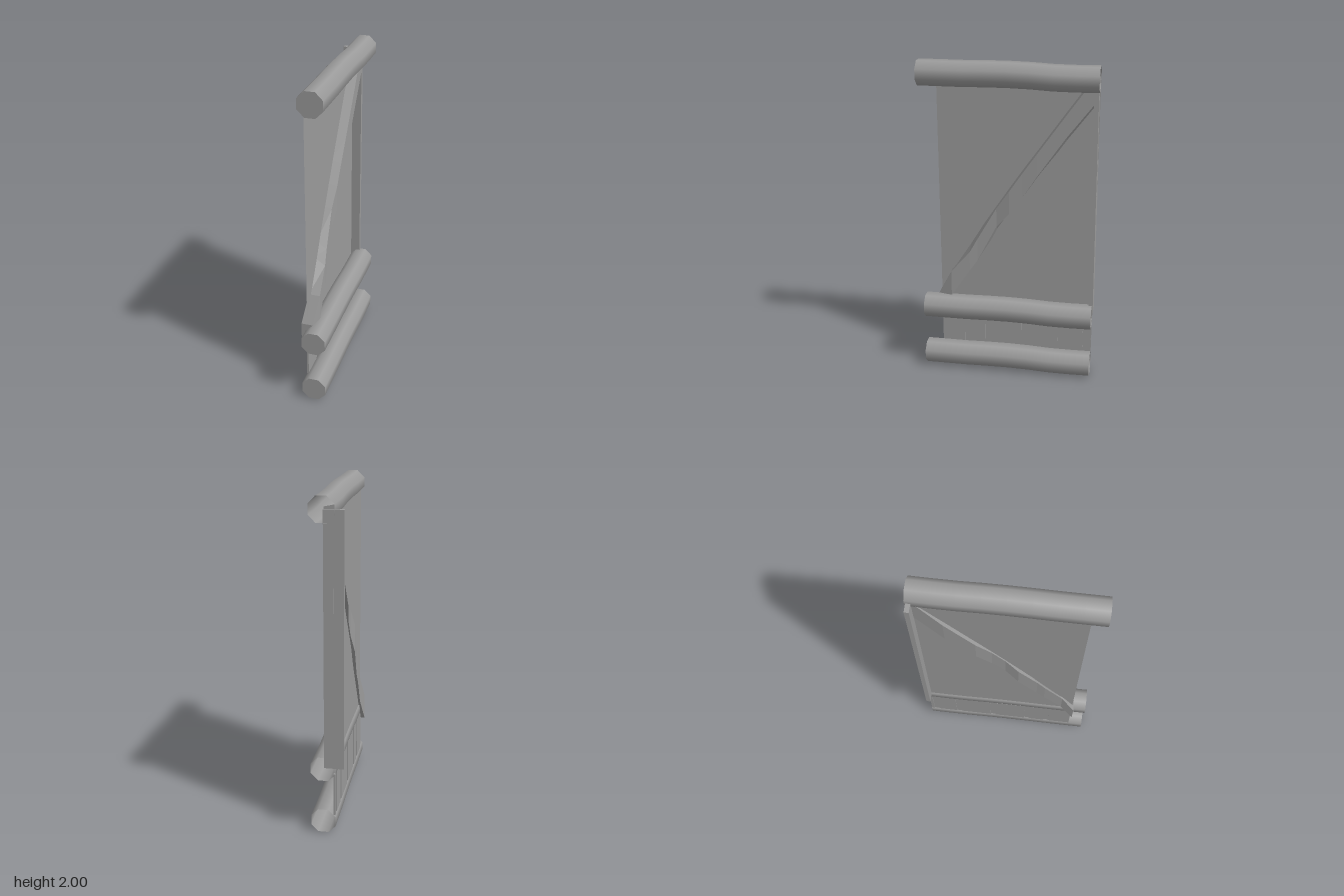
import * as THREE from 'three';

const color = 0x9b9b9b;
const material = new THREE.MeshStandardMaterial({ color, side: THREE.DoubleSide });
const flatMaterial = new THREE.MeshStandardMaterial({ color, side: THREE.DoubleSide, flatShading: true });

function box(name, x0, x1, y0, y1, z0, z1) {
  const geometry = new THREE.BoxGeometry(x1 - x0, y1 - y0, z1 - z0);
  geometry.translate((x0 + x1) / 2, (y0 + y1) / 2, (z0 + z1) / 2);
  const mesh = new THREE.Mesh(geometry, flatMaterial);
  mesh.name = name;
  return mesh;
}

// Eight-sided log along z, gently wavy, capped in front and open behind
function log(name, y) {
  const radius = 0.079, half = 0.532;
  const heights = [0, 0, 0, 0.003, 0.004, 0.001, -0.006, -0.007, -0.005];
  const steps = heights.length - 1;
  const group = new THREE.Group();
  group.name = name;
  const tube = new THREE.CylinderGeometry(radius, radius, half * 2, 8, steps, true, Math.PI / 8);
  tube.rotateX(Math.PI / 2);
  const p = tube.attributes.position;
  for (let i = 0; i < p.count; i++) {
    const ring = Math.round((half - p.getZ(i)) / (2 * half) * steps);
    p.setY(i, p.getY(i) + heights[ring]);
  }
  const cap = new THREE.CircleGeometry(radius, 8, Math.PI / 8);
  cap.translate(0, 0, half);
  group.add(new THREE.Mesh(tube, material), new THREE.Mesh(cap, material));
  group.position.set(0.024, y, 0.004);
  return group;
}

// Hewn diagonal brace lofted through upright four-cornered sections
function brace() {
  // z, outer x, outer lower y, outer upper y, inner x, inner lower y, inner upper y
  const sections = [
    [0.455, -0.075, 0.33, 0.49, -0.005, 0.33, 0.49],
    [0.37, -0.055, 0.485, 0.65, 0.015, 0.485, 0.65],
    [0.25, -0.06, 0.662, 0.84, 0.01, 0.665, 0.79],
    [0.2, -0.058, 0.735, 0.92, 0.005, 0.737, 0.88],
    [0.08, -0.065, 0.93, 1.105, 0.0, 0.97, 1.09],
    [0.0, -0.05, 1.06, 1.222, 0.01, 1.06, 1.207],
    [-0.08, -0.051, 1.17, 1.34, 0.011, 1.17, 1.325],
    [-0.17, -0.065, 1.294, 1.47, 0.013, 1.312, 1.455],
    [-0.34, -0.065, 1.522, 1.713, 0.015, 1.56, 1.698],
    [-0.505, -0.045, 1.75, 1.943, 0.015, 1.775, 1.93],
  ];
  const positions = [], index = [];
  for (const [z, x0, low0, high0, x1, low1, high1] of sections)
    positions.push(x0, low0, z, x1, low1, z, x1, high1, z, x0, high0, z);
  const last = (sections.length - 1) * 4;
  for (let s = 0; s < last; s += 4)
    for (let i = 0; i < 4; i++) {
      const a = s + i, b = s + (i + 1) % 4;
      index.push(a, a + 4, b, b, a + 4, b + 4);
    }
  index.push(0, 1, 2, 0, 2, 3, last, last + 2, last + 1, last, last + 3, last + 2);
  const indexed = new THREE.BufferGeometry();
  indexed.setAttribute('position', new THREE.Float32BufferAttribute(positions, 3));
  indexed.setIndex(index);
  const geometry = indexed.toNonIndexed();
  geometry.computeVertexNormals();
  const mesh = new THREE.Mesh(geometry, flatMaterial);
  mesh.name = 'diagonalBrace';
  return mesh;
}

// Upright post, leaning slightly backward towards its foot
function post() {
  const mesh = box('backPost', -0.1, 0.016, 0.42, 1.918, -0.522, -0.495);
  const p = mesh.geometry.attributes.position;
  for (let i = 0; i < p.count; i++)
    if (p.getY(i) < 1) p.setZ(i, p.getZ(i) - 0.012);
  mesh.geometry.computeVertexNormals();
  return mesh;
}

// Thin upright sheet filling the frame
function sheet() {
  const z0 = -0.528, z1 = 0.445, y0 = 0.1, y1 = 1.9;
  const geometry = new THREE.PlaneGeometry(z1 - z0, y1 - y0);
  geometry.rotateY(Math.PI / 2);
  geometry.translate(-0.0425, (y0 + y1) / 2, (z0 + z1) / 2);
  const mesh = new THREE.Mesh(geometry, flatMaterial);
  mesh.name = 'wallSheet';
  return mesh;
}

export function createModel() {
  const model = new THREE.Group();
  model.name = 'timberWallPanel';

  model.add(log('topLog', 1.923), log('middleLog', 0.413), log('bottomLog', 0.078));
  model.add(sheet(), brace(), post());

  // Low boards on both faces of the sheet, with narrow gaps between them
  const boards = new THREE.Group();
  boards.name = 'lowerBoards';
  const gaps = [-0.49, -0.33, -0.09, 0.145, 0.28];
  const edges = [-0.526, ...gaps.flatMap((z) => [z - 0.017, z + 0.017]), 0.445];
  for (let i = 0; i < edges.length; i += 2)
    boards.add(box('lowerBoard', -0.048, -0.037, 0.115, 0.38, edges[i], edges[i + 1]));
  model.add(boards);

  return model;
}
